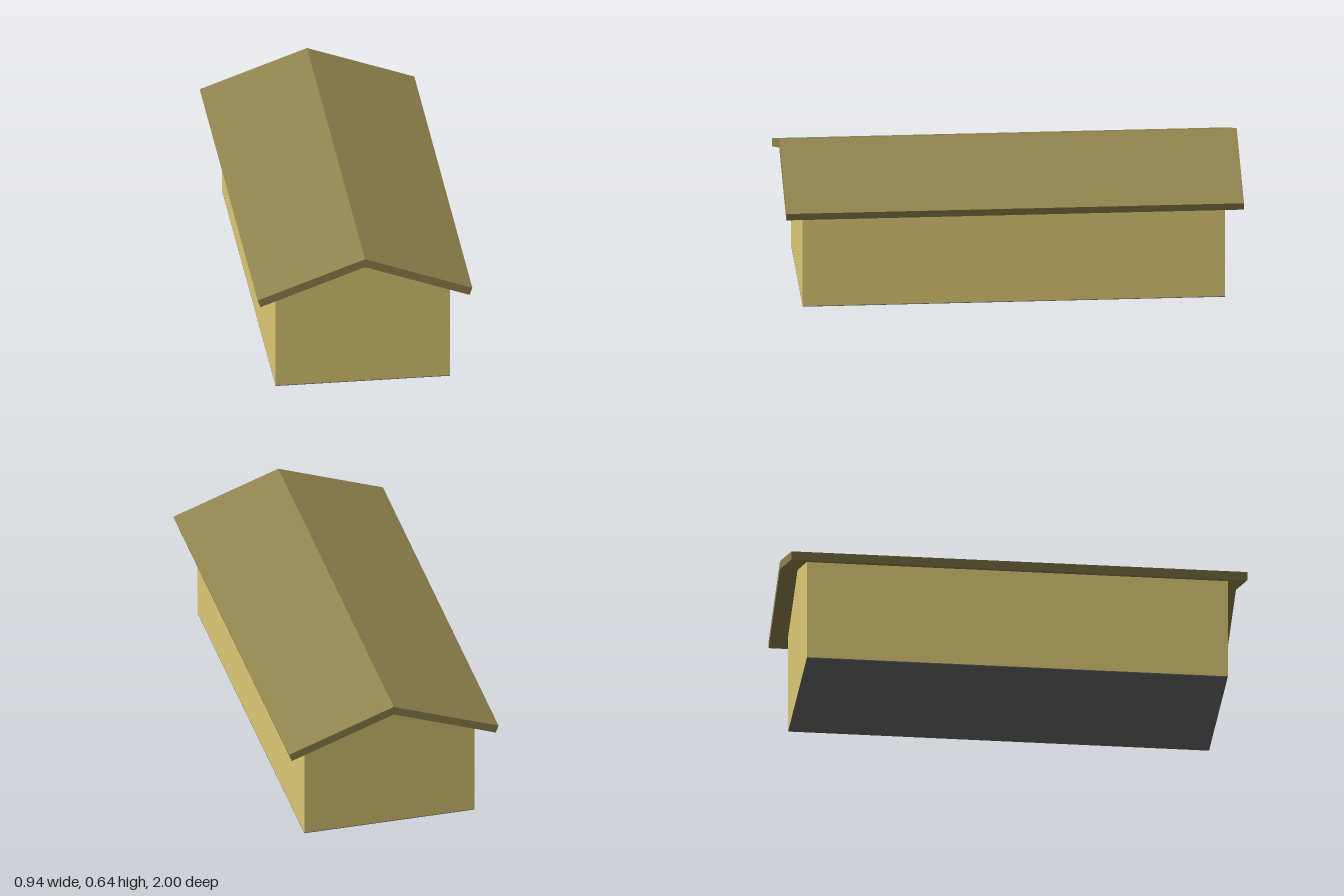
import * as THREE from 'three';

const SLOPE = Math.tan(THREE.MathUtils.degToRad(20));

// Extrudes an outline along z, centred on z = 0.
function prism(name, points, length, color) {
  const shape = new THREE.Shape(points.map(([x, y]) => new THREE.Vector2(x, y)));
  const geometry = new THREE.ExtrudeGeometry(shape, { depth: length, bevelEnabled: false });
  geometry.translate(0, 0, -length / 2);
  const mesh = new THREE.Mesh(geometry, new THREE.MeshStandardMaterial({ color, flatShading: true }));
  mesh.name = name;
  return mesh;
}

export function createModel() {
  const group = new THREE.Group();
  group.name = 'gabledBuilding';

  const halfWidth = 0.383, wallLength = 1.846, floorTop = 0.003, innerRidge = 0.6;
  const eaveHeight = innerRidge - halfWidth * SLOPE;

  // Thin floor slab
  group.add(prism('floor', [
    [-halfWidth, 0], [halfWidth, 0], [halfWidth, floorTop], [-halfWidth, floorTop],
  ], wallLength, 0x6c6c6c));

  // Walls with gable ends
  group.add(prism('walls', [
    [-halfWidth, floorTop], [halfWidth, floorTop], [halfWidth, eaveHeight],
    [0, innerRidge], [-halfWidth, eaveHeight],
  ], wallLength, 0xdcc974));

  // Overhanging roof: two sloped slabs mitred at the ridge, eaves cut square
  group.add(prism('roof', [
    [0, 0.639], [-0.472, 0.467], [-0.46, 0.433],
    [0, innerRidge], [0.46, 0.433], [0.472, 0.467],
  ], 2, 0x8f834d));

  return group;
}
